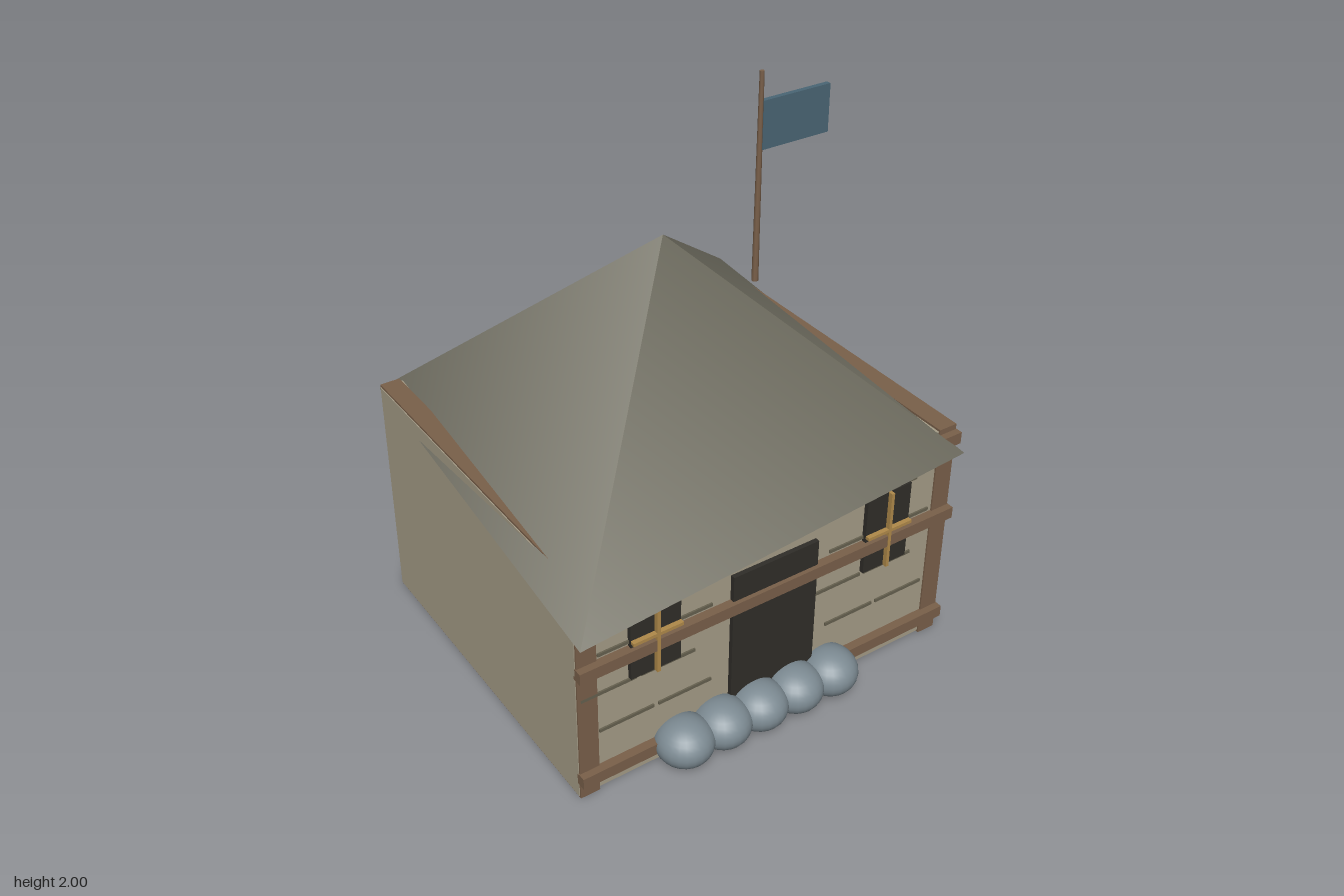
import * as THREE from 'three';

const mat = (color) => new THREE.MeshStandardMaterial({ color });

export function createModel() {
  const house = new THREE.Group();
  house.name = 'house';
  const wall = mat(0xa69d88), roofing = mat(0x716f62), wood = mat(0x7a604a), dark = mat(0x302e29);
  const gold = mat(0xb08a4a), mortar = mat(0x66614f), stone = mat(0x7d8b93), cloth = mat(0x4a6675);

  const add = (name, geometry, material, x, y, z) => {
    const mesh = new THREE.Mesh(geometry, material);
    mesh.name = name;
    mesh.position.set(x, y, z);
    house.add(mesh);
    return mesh;
  };
  // box given by its limits on each axis
  const box = (name, material, x0, x1, y0, y1, z0, z1) =>
    add(name, new THREE.BoxGeometry(x1 - x0, y1 - y0, z1 - z0), material,
      (x0 + x1) / 2, (y0 + y1) / 2, (z0 + z1) / 2);

  box('walls', wall, -0.75, 0.75, 0.01, 0.877, -0.64, 0.64);

  // four-sided roof, stretched along one diagonal
  const roof = new THREE.ConeGeometry(1, 0.71, 4);
  roof.scale(1.195, 1, 1.02);
  roof.rotateY(Math.PI / 4);
  add('roof', roof, roofing, 0, 1.175, 0);

  // timber frames run the full depth at both ends
  for (const s of [-1, 1]) {
    const x = s * 0.711;
    box('timberFrame', wood, x - 0.036, x + 0.036, 0.003, 0.885, -0.646, 0.646);
  }
  for (const y of [0.088, 0.53, 0.842])
    box('frontBeam', wood, -0.75, 0.75, y - 0.022, y + 0.022, 0.635, 0.672);

  box('door', dark, -0.17, 0.17, 0.012, 0.65, 0.63, 0.657);

  // windows with crossed glazing bars
  for (const x of [-0.465, 0.465]) {
    box('window', dark, x - 0.093, x + 0.093, 0.422, 0.727, 0.63, 0.657);
    box('verticalBar', gold, x - 0.006, x + 0.006, 0.422, 0.727, 0.655, 0.674);
    box('horizontalBar', gold, x - 0.093, x + 0.093, 0.569, 0.581, 0.655, 0.674);
  }

  // staggered courses on the front wall
  for (let row = 0; row < 4; row++) {
    const y = 0.255 + row * 0.157, shift = row % 2 ? -0.065 : 0;
    for (const start of [-0.67, 0.23])
      for (let i = 0; i < 2; i++) {
        const x = start + shift + i * 0.222;
        box('courseLine', mortar, x, x + 0.205, y - 0.006, y + 0.006, 0.635, 0.646);
      }
  }

  // row of boulders by the door
  for (let i = 0; i < 5; i++)
    add('boulder', new THREE.SphereGeometry(1, 24, 16), stone, -0.375 + i * 0.15, 0.088, 0.685)
      .scale.set(0.102, 0.083, 0.105);

  add('flagPole', new THREE.CylinderGeometry(0.008, 0.012, 0.75, 8), wood, 0.375, 1.625, 0);
  box('flag', cloth, 0.38, 0.65, 1.73, 1.9, -0.009, 0.009);

  return house;
}
